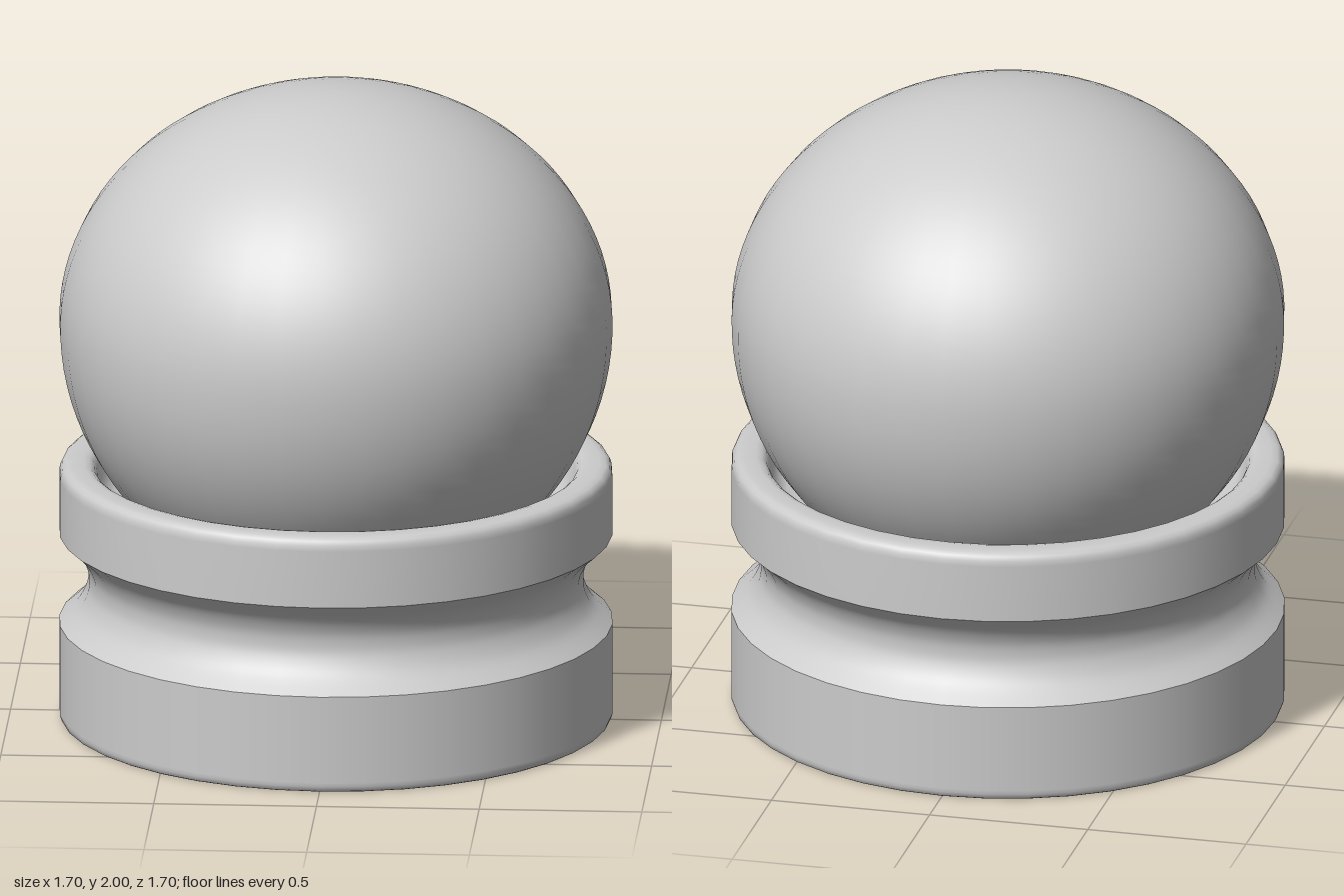
import * as THREE from 'three';

const SIDES = 40;
const material = new THREE.MeshStandardMaterial({ color: 0xcccccc });

// Smooth surface of revolution; profile runs upward along the outside
function turned(name, profile) {
  const points = profile.map(([r, y]) => new THREE.Vector2(r, y));
  const mesh = new THREE.Mesh(new THREE.LatheGeometry(points, SIDES), material);
  mesh.name = name;
  return mesh;
}

// Rounded knob: flattened above the widest ring, fuller below it
function knobProfile() {
  const radius = 0.85, middle = 1.26, steps = 40;
  const profile = [];
  for (let i = 0; i <= steps; i++) {
    const a = THREE.MathUtils.lerp(-0.9, Math.PI / 2, i / steps);
    const height = a > 0 ? 0.74 : 0.846;
    const r = i === steps ? 0 : radius * Math.cos(a);
    profile.push([r, middle + height * Math.sin(a)]);
  }
  return profile;
}

// Concave neck between the base and the collar
function neckProfile() {
  const curve = new THREE.SplineCurve([
    [0.85, 0.305], [0.795, 0.355], [0.767, 0.405], [0.76, 0.447],
    [0.767, 0.49], [0.795, 0.54], [0.85, 0.59],
  ].map(([r, y]) => new THREE.Vector2(r, y)));
  return curve.getPoints(24).map((p) => [p.x, p.y]);
}

export function createModel() {
  const model = new THREE.Group();
  model.name = 'knob';

  // Flat underside and base drum
  model.add(turned('underside', [[0, 0], [0.838, 0]]));
  model.add(turned('base', [
    [0.838, 0], [0.845, 0.004], [0.85, 0.018], [0.85, 0.03], [0.85, 0.29], [0.85, 0.305],
  ]));

  model.add(turned('neck', neckProfile()));

  // Collar with a rounded lip that dips into a groove around the knob
  model.add(turned('collar', [
    [0.85, 0.59], [0.85, 0.6], [0.85, 0.77], [0.848, 0.787], [0.842, 0.8], [0.83, 0.809],
    [0.81, 0.812], [0.775, 0.812], [0.757, 0.808], [0.744, 0.798], [0.735, 0.78],
    [0.722, 0.74], [0.705, 0.71], [0.68, 0.693], [0.64, 0.685], [0.58, 0.683],
  ]));

  model.add(turned('ball', knobProfile()));
  return model;
}
